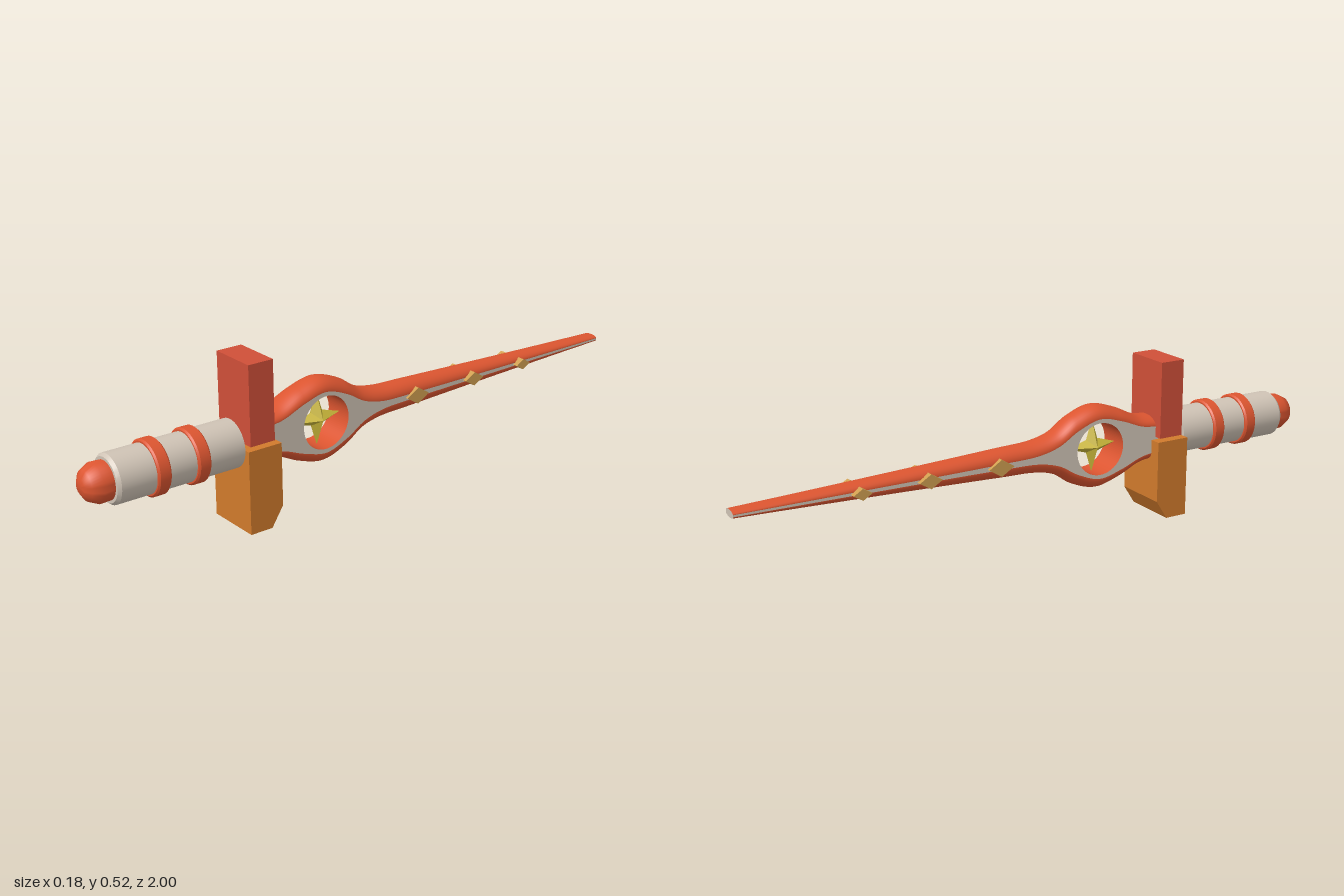
import * as THREE from 'three';
import { toCreasedNormals } from 'three/addons/utils/BufferGeometryUtils.js';
import { ParametricGeometry } from 'three/addons/geometries/ParametricGeometry.js';

const material = (name, color) => new THREE.MeshStandardMaterial({ name, color });
const V2 = (x, y) => new THREE.Vector2(x, y);
const V3 = (x, y, z) => new THREE.Vector3(x, y, z);
const AXIS = 0.262; // height of the sword's long axis

export function createModel() {
  const red = material('red', 0xdc5530);
  const guardRed = material('guard red', 0xcf4f38);
  const orange = material('orange', 0xd07a2c);
  const grey = material('warm grey', 0xcfc3b5);
  const yellow = material('yellow', 0xc9b63a);
  const gold = material('gold', 0xcf9f50);

  const model = new THREE.Group();
  model.name = 'sword';
  const sword = new THREE.Group();
  sword.name = 'swordBody';
  sword.position.y = AXIS;
  model.add(sword);

  const add = (name, geometry, mat) => {
    const mesh = new THREE.Mesh(geometry, mat);
    mesh.name = name;
    sword.add(mesh);
    return mesh;
  };

  // Turned part along z; profile points are [radius, z] from back to front
  const turned = (name, profile, mat, crease = 0.6) => {
    const g = new THREE.LatheGeometry(profile.map(([r, z]) => V2(r, z)), 40);
    g.rotateX(Math.PI / 2);
    return add(name, toCreasedNormals(g, crease), mat);
  };

  // Side outline of [z, y] points extruded across x
  const sideExtrude = (shape, halfWidth) => {
    const g = new THREE.ExtrudeGeometry(shape, { depth: 2 * halfWidth, bevelEnabled: false, curveSegments: 48 });
    g.translate(0, 0, -halfWidth);
    return g.rotateY(Math.PI / 2);
  };
  const sideShape = (points) => new THREE.Shape(points.map(([z, y]) => V2(-z, y)));

  // Grip, rings and pommel
  turned('grip', [[0, 0.51], [0.075, 0.51], [0.075, 0.912], [0.067, 0.922], [0, 0.922]], grey);
  for (const z of [0.65, 0.78]) {
    turned('gripRing', [[0.07, z - 0.021], [0.08, z - 0.021], [0.085, z - 0.016],
      [0.085, z + 0.016], [0.08, z + 0.021], [0.07, z + 0.021]], red);
  }
  turned('pommel', [[0.058, 0.915], [0.06, 0.955], [0.045, 0.985], [0.023, 0.999], [0, 1]], red, 1);

  // Guard: upright block above, chamfered block below
  const upper = add('upperGuard', new THREE.BoxGeometry(0.16, 0.25, 0.085), guardRed);
  upper.position.set(0, 0.52 - AXIS - 0.125, 0.4525);
  add('lowerGuard', sideExtrude(sideShape([
    [0.51, -AXIS], [0.435, -AXIS], [0.395, -0.2], [0.395, 0], [0.51, 0],
  ]), 0.092), orange);

  // Blade rule: (z, outer half height, flat half height) along the length
  const STEPS = 80;
  const blade = new THREE.CatmullRomCurve3([
    V3(0.42, 0.072, 0.042), V3(0.36, 0.08, 0.05), V3(0.28, 0.116, 0.08), V3(0.2, 0.136, 0.098),
    V3(0.12, 0.112, 0.072), V3(0.05, 0.068, 0.032), V3(-0.02, 0.051, 0.014),
    V3(-0.15, 0.045, 0.009), V3(-0.6, 0.027, 0.005), V3(-1, 0.012, 0.003),
  ]);
  const halfWidth = (z) => 0.055 - (0.41 - z) * 0.0192;

  // Flat core with a round window whose walls are red
  const sections = Array.from({ length: STEPS + 1 }, (_, i) => blade.getPoint(i / STEPS));
  const outline = [
    ...sections.map((p) => [p.x, -p.z]),
    ...sections.slice().reverse().map((p) => [p.x, p.z]),
  ];
  const coreShape = sideShape(outline);
  coreShape.holes.push(new THREE.Path().absarc(-0.2, 0, 0.085, 0, Math.PI * 2, true));
  const core = sideExtrude(coreShape, 1);
  const pos = core.attributes.position;
  for (let i = 0; i < pos.count; i++) pos.setX(i, pos.getX(i) * halfWidth(pos.getZ(i)));
  core.computeVertexNormals();
  add('bladeCore', core, [grey, red]);

  // Rounded red edges above and below the core
  const edgePoint = (u, v, target) => {
    const p = blade.getPoint(v);
    const a = Math.PI * (1 - u);
    target.set(halfWidth(p.x) * Math.cos(a), p.z + (p.y - p.z) * Math.sin(a), p.x);
  };
  for (const name of ['upperEdge', 'lowerEdge']) {
    const g = new ParametricGeometry(edgePoint, 16, STEPS);
    if (name === 'lowerEdge') g.rotateZ(Math.PI);
    add(name, g, red);
  }

  // Grey end face at the tip
  const tip = [];
  const corner = V3(0, 0, 0);
  for (const side of [1, -1]) {
    for (let i = 0; i <= 16; i++) {
      edgePoint(1 - i / 16, 1, corner);
      tip.push(V2(corner.x * side, corner.y * side));
    }
  }
  const tipFace = add('tipFace', new THREE.ShapeGeometry(new THREE.Shape(tip)), grey);
  tipFace.rotation.y = Math.PI;
  tipFace.position.z = -1;

  // Four-pointed star, faceted on both sides, inside the window
  for (const turn of [-1, 1]) {
    const g = new THREE.ConeGeometry(0.088, 0.035, 8, 1, true);
    g.translate(0, 0.0175, 0);
    const p = g.attributes.position;
    for (let i = 0; i < p.count; i++) {
      const onAxis = Math.min(Math.abs(p.getX(i)), Math.abs(p.getZ(i))) < 0.001;
      if (!onAxis) p.setXYZ(i, p.getX(i) * 0.34, p.getY(i), p.getZ(i) * 0.34);
    }
    const facets = g.toNonIndexed();
    facets.computeVertexNormals();
    facets.rotateZ(turn * Math.PI / 2);
    add('star', facets, yellow).position.z = 0.2;
  }

  // Diamond studs through the blade, shrinking toward the tip
  for (const [z, l, h] of [[-0.16, 0.044, 0.027], [-0.4, 0.038, 0.023], [-0.62, 0.03, 0.018]]) {
    add('stud', sideExtrude(sideShape([[z + l, 0], [z, -h], [z - l, 0], [z, h]]), 0.054), gold);
  }

  return model;
}
